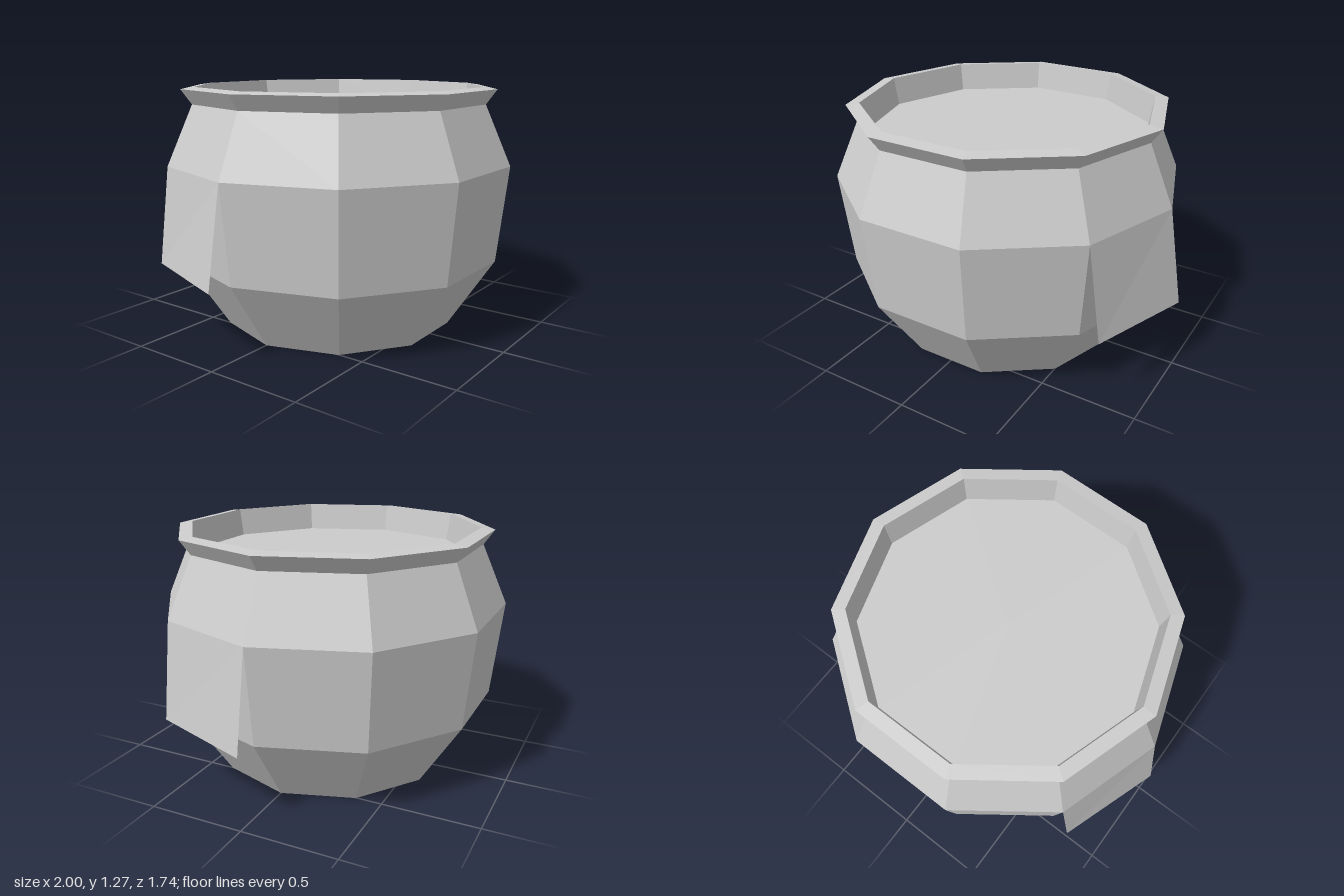
import * as THREE from 'three';

export function createModel() {
  const group = new THREE.Group();
  const grey = new THREE.MeshStandardMaterial({ color: 0xcccccc, flatShading: true });
  const thin = new THREE.MeshStandardMaterial({
    color: 0xcccccc, flatShading: true, side: THREE.DoubleSide,
  });

  // Turns a [radius, height] profile into a ten-sided solid with corners on the x axis
  function turned(name, profile) {
    const points = profile.map(([r, y]) => new THREE.Vector2(r, y));
    const mesh = new THREE.Mesh(new THREE.LatheGeometry(points, 10, Math.PI / 2), grey);
    mesh.name = name;
    group.add(mesh);
  }

  // Pot wall with its closed base
  turned('pot', [[0, 0], [0.62, 0], [0.86, 0.37], [0.915, 0.875], [0.78, 1.185]]);

  // Flared rim, inner wall and the flat surface inside
  turned('rim', [[0.78, 1.185], [0.835, 1.262], [0.765, 1.272], [0.74, 1.125]]);
  turned('contents', [[0.74, 1.125], [0, 1.125]]);

  // Flap handles hang from one belly edge on each side, swung outwards
  const r = 0.915, a = Math.PI / 5;
  const x = r * Math.cos(a), z = r * Math.sin(a);
  const flap = new THREE.BufferGeometry();
  flap.setAttribute('position', new THREE.Float32BufferAttribute([
    r, 0.875, 0,
    x, 0.875, z,
    x + 0.07, 0.38, z,
    1, 0.375, 0,
  ], 3));
  flap.setIndex([0, 1, 2, 0, 2, 3].reverse());
  flap.computeVertexNormals();
  ['leftHandle', 'rightHandle'].forEach((name, i) => {
    const mesh = new THREE.Mesh(flap, thin);
    mesh.name = name;
    mesh.rotation.y = i * Math.PI;
    group.add(mesh);
  });

  return group;
}
